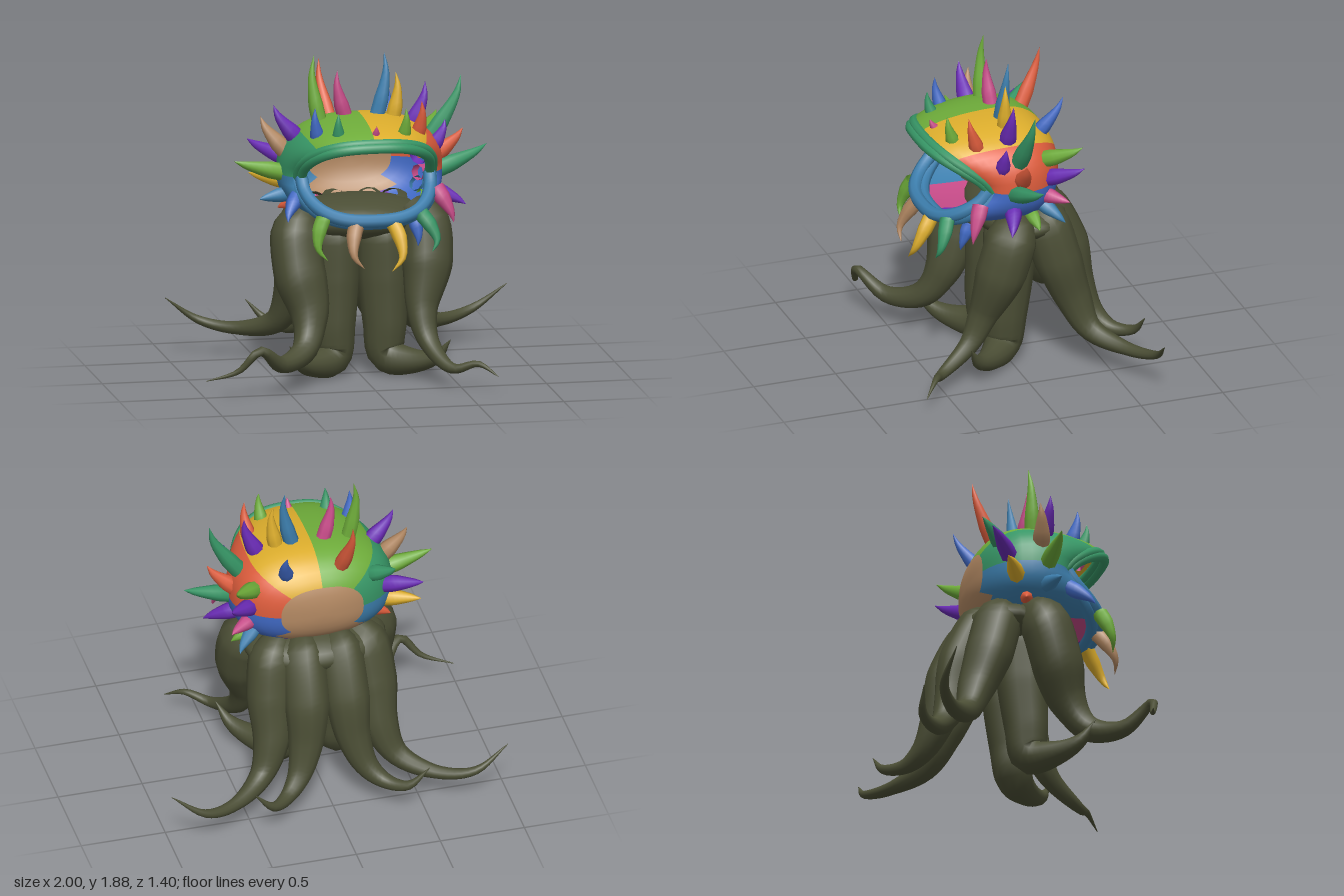
import * as THREE from 'three';
import { mergeVertices } from 'three/addons/utils/BufferGeometryUtils.js';

const COLORS = {
  olive: 0x4b4e35, green: 0x6eac3a, yellow: 0xdcad2c, red: 0xdc5c3c, blue: 0x4069c4,
  steel: 0x3d7fae, teal: 0x379666, brown: 0xb28862, purple: 0x6a2bb5, pink: 0xc64b88,
};
const V = (p) => new THREE.Vector3(...p);
const spow = (v, e) => Math.sign(v) * Math.abs(v) ** e;

// Tapered tube along a curve, radii spread evenly over the control points
function taper(points, radii, segments, sides) {
  const curve = new THREE.CatmullRomCurve3(points.map(V), false, 'centripetal');
  const geo = new THREE.TubeGeometry(curve, segments, 1, sides);
  const pos = geo.attributes.position, v = new THREE.Vector3();
  for (let i = 0; i <= segments; i++) {
    const c = curve.getPointAt(i / segments);
    const f = curve.getUtoTmapping(i / segments) * (radii.length - 1);
    const k = Math.min(Math.floor(f), radii.length - 2);
    const r = THREE.MathUtils.lerp(radii[k], radii[k + 1], f - k);
    for (let j = 0; j <= sides; j++) {
      const n = i * (sides + 1) + j;
      v.fromBufferAttribute(pos, n).sub(c).multiplyScalar(r).add(c);
      pos.setXYZ(n, v.x, v.y, v.z);
    }
  }
  geo.deleteAttribute('normal');
  geo.deleteAttribute('uv');
  const out = mergeVertices(geo, 1e-5);
  out.computeVertexNormals();
  return out;
}

// Mouth rim: a wedge-shaped opening, deepest at the corners
function rim(t) {
  const c = Math.cos(t), s = Math.sin(t);
  return [0.375 * spow(c, 0.75), 1.2 + 0.215 * spow(s, 0.8), 0.2 + (s > 0 ? 0.3 : 0.27) * Math.abs(s) ** 1.1];
}

// Head shell point: u 0..1 runs from the back to the widest ring, 1..2 on to the rim
function headPoint(t, u) {
  const s = Math.sin(t);
  const ex = 0.48 * spow(Math.cos(t), 0.82), ey = (s > 0 ? 0.33 : 0.275) * spow(s, 0.82);
  const a = (u <= 1 ? u : u - 1) * Math.PI / 2;
  if (u <= 1) {
    const r = Math.sin(a) ** 0.85;
    return [ex * r, 1.2 + ey * r, 0.03 - 0.33 * Math.max(0, Math.cos(a)) ** 0.85];
  }
  const R = rim(t), k = 1 - Math.cos(a);
  return [ex + (R[0] - ex) * k, 1.2 + ey + (R[1] - 1.2 - ey) * k, 0.03 + (R[2] - 0.03) * Math.sin(a)];
}

// Head shell: the back panel is group 0, the sectors follow counter-clockwise from +x
function headGeometry(panelCount) {
  const N = 48, M = 20, ends = [6, 12, 18, 24, 32, 36, 40, 48];
  const pos = [], lists = Array.from({ length: panelCount }, () => []);
  for (let i = 0; i <= M; i++)
    for (let j = 0; j < N; j++) pos.push(...headPoint(j / N * Math.PI * 2, i / M * 2));
  for (let i = 0; i < M; i++)
    for (let j = 0; j < N; j++) {
      const a = i * N + j, b = i * N + (j + 1) % N;
      const backRows = j >= 30 && j < 42 ? 5 : 3;
      const list = lists[i < backRows ? 0 : 1 + ends.findIndex((e) => j < e)];
      if (i > 0) list.push(a, b, a + N);
      list.push(b, b + N, a + N);
    }
  const geo = new THREE.BufferGeometry();
  geo.setAttribute('position', new THREE.Float32BufferAttribute(pos, 3));
  let start = 0;
  lists.forEach((l, m) => { geo.addGroup(start, l.length, m); start += l.length; });
  geo.setIndex(lists.flat());
  const merged = mergeVertices(geo, 1e-5);
  merged.computeVertexNormals();
  return merged;
}

// Spikes: colour, base, tip
const TOP_SPIKES = [
  ['green', [-0.23, 1.47, 0.03], [-0.26, 1.87, 0.0]], ['pink', [-0.08, 1.5, 0.02], [-0.13, 1.78, 0.03]],
  ['steel', [0.1, 1.5, 0.03], [0.15, 1.87, 0.0]], ['yellow', [0.19, 1.48, 0.04], [0.21, 1.76, 0.04]],
  ['red', [-0.13, 1.43, -0.17], [-0.17, 1.78, -0.31]], ['blue', [0.18, 1.4, -0.15], [0.22, 1.64, -0.31]],
  ['blue', [-0.28, 1.4, 0.24], [-0.31, 1.62, 0.28]], ['teal', [-0.18, 1.42, 0.33], [-0.19, 1.6, 0.37]],
  ['pink', [0.02, 1.43, 0.37], [0.02, 1.53, 0.43]], ['green', [0.19, 1.42, 0.34], [0.2, 1.62, 0.39]],
  ['red', [0.29, 1.4, 0.23], [0.31, 1.64, 0.3]],
];
const SIDE_SPIKES = [
  ['purple', [-0.35, 1.38, 0.06], [-0.51, 1.6, 0.06]], ['brown', [-0.42, 1.31, 0.03], [-0.57, 1.52, -0.02]],
  ['green', [-0.43, 1.2, 0.06], [-0.74, 1.28, 0.06]], ['teal', [-0.3, 1.34, -0.16], [-0.42, 1.46, -0.32]],
  ['purple', [-0.38, 1.24, -0.14], [-0.59, 1.33, -0.31]], ['yellow', [-0.39, 1.12, -0.1], [-0.6, 1.15, -0.22]],
  ['blue', [-0.4, 1.09, 0.2], [-0.48, 0.97, 0.34]], ['steel', [-0.42, 1.08, 0.06], [-0.6, 1.06, 0.1]],
  ['red', [-0.36, 1.01, -0.04], [-0.46, 0.97, -0.07]],
  ['purple', [0.28, 1.42, 0.06], [0.38, 1.7, 0.05]], ['teal', [0.4, 1.35, 0.03], [0.6, 1.72, 0.0]],
  ['red', [0.42, 1.24, 0.02], [0.6, 1.42, 0.05]], ['teal', [0.43, 1.18, 0.07], [0.75, 1.31, 0.0]],
  ['purple', [0.4, 1.32, 0.13], [0.48, 1.49, 0.13]], ['green', [0.35, 1.33, -0.12], [0.52, 1.45, -0.32]],
  ['purple', [0.37, 1.22, -0.13], [0.55, 1.33, -0.32]], ['pink', [0.37, 1.13, -0.12], [0.53, 1.12, -0.24]],
  ['steel', [0.36, 1.07, -0.12], [0.48, 0.97, -0.23]], ['purple', [0.4, 1.08, 0.06], [0.6, 0.99, 0.14]],
  ['pink', [0.4, 1.12, 0.26], [0.49, 0.93, 0.34]], ['green', [0.36, 1.01, -0.06], [0.49, 0.95, -0.07]],
  ['blue', [0.27, 0.95, 0.28], [0.28, 0.8, 0.34]],
];
const FANGS = [
  ['green', [-0.29, 1.0, 0.42], [-0.28, 0.77, 0.5]], ['brown', [-0.1, 0.97, 0.45], [-0.08, 0.73, 0.57]],
  ['yellow', [0.11, 0.97, 0.45], [0.08, 0.71, 0.585]], ['teal', [0.28, 1.01, 0.42], [0.33, 0.8, 0.51]],
];

// Tentacles: paths and radii
const mirror = (pts) => pts.map(([x, y, z]) => [-x, y, z]);
const FRONT_TOP = [[0.29, 0.96, 0], [0.37, 0.87, 0.06], [0.375, 0.65, 0.13], [0.33, 0.4, 0.215]];
const FRONT_END_LEFT = [[0.35, 0.23, 0.31], [0.45, 0.11, 0.52], [0.58, 0.15, 0.6], [0.68, 0.09, 0.69]];
const FRONT_END_RIGHT = [[-0.38, 0.22, 0.33], [-0.55, 0.17, 0.49], [-0.7, 0.28, 0.61], [-0.82, 0.16, 0.58], [-1, 0.1, 0.53]];
const FRONT_RADII = [0.09, 0.15, 0.15, 0.09, 0.06, 0.03, 0.018, 0.002];
const MIRRORED = {
  middleTentacle: [
    [[0.13, 0.97, -0.03], [0.14, 0.8, -0.01], [0.145, 0.55, 0], [0.15, 0.3, 0.02], [0.16, 0.11, 0.04], [0.28, 0.085, 0.15], [0.4, 0.13, 0.27], [0.47, 0.24, 0.34]],
    [0.08, 0.15, 0.15, 0.13, 0.11, 0.075, 0.04, 0.002]],
  outerBackTentacle: [
    [[0.2, 1.0, -0.12], [0.27, 0.89, -0.18], [0.305, 0.65, -0.25], [0.32, 0.42, -0.33], [0.4, 0.23, -0.41], [0.59, 0.165, -0.56], [0.8, 0.2, -0.66], [1, 0.34, -0.645]],
    [0.06, 0.14, 0.14, 0.11, 0.07, 0.04, 0.025, 0.002]],
  innerBackTentacle: [
    [[0.09, 1.0, -0.14], [0.11, 0.91, -0.24], [0.12, 0.65, -0.365], [0.14, 0.42, -0.42], [0.2, 0.24, -0.49], [0.29, 0.165, -0.57], [0.4, 0.18, -0.67], [0.52, 0.3, -0.7]],
    [0.05, 0.13, 0.135, 0.105, 0.07, 0.045, 0.028, 0.002]],
};

export function createModel() {
  const model = new THREE.Group();
  const mats = {};
  for (const [name, color] of Object.entries(COLORS)) {
    mats[name] = new THREE.MeshStandardMaterial({ color, side: THREE.DoubleSide });
    mats[name].name = name;
  }
  const add = (name, geo, mat, parent = model) => {
    const mesh = new THREE.Mesh(geo, mat);
    mesh.name = name;
    parent.add(mesh);
    return mesh;
  };

  // Head
  const panels = ['brown', 'red', 'yellow', 'green', 'teal', 'steel', 'pink', 'purple', 'blue'].map((n) => mats[n]);
  add('head', headGeometry(panels.length), panels);

  // Lips: two rolled ridges above and below
  for (const [name, color, sign, r, depth] of [['upperLip', 'teal', 1, 0.03, 0.025], ['lowerLip', 'steel', -1, 0.039, 0.05]])
    for (const [scale, back] of [[1, 0], [1.1, depth]]) {
      const pts = [];
      for (let i = 0; i <= 16; i++) {
        const [x, y, z] = rim(sign * i / 16 * Math.PI);
        pts.push([x * (1 + (scale - 1) * 0.5), 1.2 + (y - 1.2) * scale, z - back]);
      }
      add(name, taper(pts, pts.map(() => r), 48, 8), mats[color]);
    }

  // Spikes: stout cones ending in a thin hooked tip; depth sets how far the hook leans in z
  const spikes = (name, list, r, hook, depth) => {
    const group = new THREE.Group();
    group.name = name;
    for (const [color, b, t] of list) {
      const base = V(b), tip = V(t), len = base.distanceTo(tip);
      const out = new THREE.Vector3(base.x, 0, base.z * depth).normalize().multiplyScalar(hook * len);
      const at = (f, k) => base.clone().lerp(tip, f).addScaledVector(out, k).toArray();
      const w = r * Math.min(1, 0.5 + len * 2);
      add('spike', taper([b, at(0.3, 0.7), at(0.72, 1), t], [w, w * 0.95, w * 0.43, 0.001], 10, 8), mats[color], group);
    }
    model.add(group);
  };
  spikes('topSpikes', TOP_SPIKES, 0.045, 0.06, 1);
  spikes('sideSpikes', SIDE_SPIKES, 0.052, 0.07, 1);
  spikes('fangs', FANGS, 0.046, 0.2, 0.1);

  // Mantle joining the tentacles under the head
  const mantle = add('mantle', new THREE.SphereGeometry(1, 24, 14), mats.olive);
  mantle.scale.set(0.42, 0.13, 0.28);
  mantle.position.set(0, 0.9, -0.09);

  // Tentacles
  add('leftFrontTentacle', taper([...FRONT_TOP, ...FRONT_END_LEFT], FRONT_RADII, 40, 12), mats.olive);
  add('rightFrontTentacle', taper([...mirror(FRONT_TOP), ...FRONT_END_RIGHT], FRONT_RADII, 40, 12), mats.olive);
  for (const [name, [path, radii]] of Object.entries(MIRRORED))
    for (const pts of [path, mirror(path)]) add(name, taper(pts, radii, 40, 12), mats.olive);

  return model;
}
